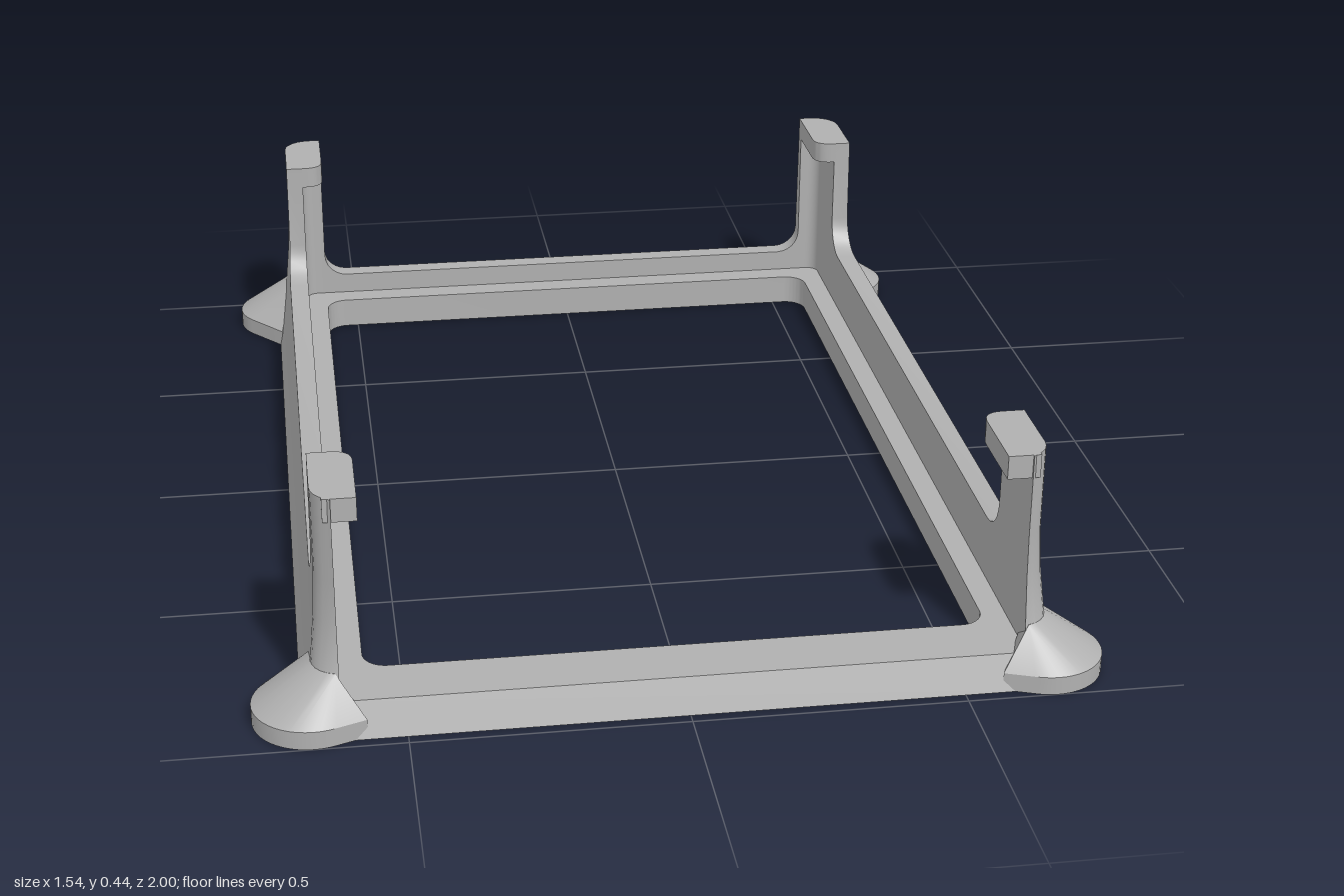
import * as THREE from 'three';
import { toCreasedNormals } from 'three/addons/utils/BufferGeometryUtils.js';
import { ConvexGeometry } from 'three/addons/geometries/ConvexGeometry.js';

const V = (x, y, z) => new THREE.Vector3(x, y, z);
const rad = THREE.MathUtils.degToRad;

// Outer shell: half width and half depth at each height
const LEVELS = [0, 0.11, 0.2, 0.28, 0.44];
const HALF_X = [0.685, 0.663, 0.654, 0.65, 0.65];
const HALF_Z = [0.98, 0.937, 0.925, 0.92, 0.918];
const CORNER = 0.055, INNER_X = 0.615, INNER_Z = 0.895;
const FLOOR = 0.065, TOP = 0.44;

function atHeight(table, y) {
  let i = 0;
  while (i < LEVELS.length - 2 && y > LEVELS[i + 1]) i++;
  return THREE.MathUtils.mapLinear(y, LEVELS[i], LEVELS[i + 1], table[i], table[i + 1]);
}

// One closed cross-section of the wall: up the outside, over the top, down the inside
function section(height, outer, ix, iz) {
  const ring = LEVELS.map((l) => {
    const y = Math.min(l, height);
    const [x, z] = outer(atHeight(HALF_X, y), atHeight(HALF_Z, y));
    return V(x, y, z);
  });
  ring.push(V(ix, height, iz), V(ix, 0, iz));
  return ring;
}

function wallSections() {
  const s = [];
  const corner = (deg, sign) => (X, Z) => [
    X - CORNER + CORNER * Math.cos(rad(deg)),
    sign * (Z - CORNER + CORNER * Math.sin(rad(deg)))];
  const side = (z, h) => s.push(section(h, (X) => [X, z], INNER_X, z));
  const back = (x, h) => s.push(section(h, (X, Z) => [x, -Z], x, -INNER_Z));
  // front corner, cut flat at the inner wall
  s.push(section(TOP, (X, Z) => [INNER_X, Z], INNER_X, 0.86));
  for (const d of [60, 45, 30, 15, 0]) s.push(section(TOP, corner(d, 1), INNER_X, 0.86));
  // side: post, fillet, low rail, fillet, post
  side(0.73, TOP);
  const r = 0.07;
  for (let i = 0; i <= 6; i++) {
    const a = rad(i * 15);
    side(0.73 - r + r * Math.cos(a), 0.185 + r - r * Math.sin(a));
  }
  for (let i = 6; i >= 0; i--) {
    const a = rad(i * 15);
    side(-0.73 + r - r * Math.cos(a), 0.185 + r - r * Math.sin(a));
  }
  side(-0.73, TOP);
  // rounded back corner
  for (let d = 0; d <= 90; d += 15) {
    s.push(section(TOP, corner(d, -1),
      INNER_X - 0.025 + 0.025 * Math.cos(rad(d)), -INNER_Z + 0.025 - 0.025 * Math.sin(rad(d))));
  }
  // back: post return, fillet, low rail
  back(0.57, TOP);
  const q = 0.05;
  for (let i = 0; i <= 6; i++) {
    const a = rad(i * 15);
    back(0.57 - q + q * Math.cos(a), 0.11 + q - q * Math.sin(a));
  }
  // mirror to the other side
  return [...s, ...s.map((ring) => ring.map((p) => V(-p.x, p.y, p.z))).reverse()];
}

// Skin the cross-sections and close both ends
function skin(sections) {
  const pos = [];
  const area = new THREE.Triangle();
  const tri = (a, b, c) => {
    if (area.set(a, b, c).getArea() > 1e-8) for (const p of [a, b, c]) pos.push(p.x, p.y, p.z);
  };
  const n = sections[0].length;
  for (let i = 0; i < sections.length - 1; i++) {
    for (let j = 0; j < n; j++) {
      const k = (j + 1) % n;
      const a = sections[i][j], b = sections[i][k];
      const c = sections[i + 1][k], d = sections[i + 1][j];
      tri(a, d, c);
      tri(a, c, b);
    }
  }
  const first = sections[0], last = sections[sections.length - 1];
  for (let j = 0; j < n - 2; j++) {
    tri(first[n - 1], first[j], first[j + 1]);
    tri(last[n - 1], last[j + 1], last[j]);
  }
  const g = new THREE.BufferGeometry();
  g.setAttribute('position', new THREE.Float32BufferAttribute(pos, 3));
  return toCreasedNormals(g, rad(28));
}

// Flat base ring with a rounded opening and a sloping front edge
function baseGeometry() {
  const shape = new THREE.Shape([
    new THREE.Vector2(-0.63, -0.92), new THREE.Vector2(0.63, -0.92),
    new THREE.Vector2(0.63, 0.92), new THREE.Vector2(-0.63, 0.92)]);
  const x = 0.57, z = 0.843, r = 0.045;
  const hole = new THREE.Path();
  hole.absarc(x - r, z - r, r, 0, Math.PI / 2);
  hole.absarc(-x + r, z - r, r, Math.PI / 2, Math.PI);
  hole.absarc(-x + r, -z + r, r, Math.PI, Math.PI * 1.5);
  hole.absarc(x - r, -z + r, r, Math.PI * 1.5, Math.PI * 2);
  hole.closePath();
  shape.holes.push(hole);
  const g = new THREE.ExtrudeGeometry(shape, { depth: FLOOR, bevelEnabled: false, curveSegments: 8 });
  g.rotateX(-Math.PI / 2);
  const p = g.attributes.position;
  for (let i = 0; i < p.count; i++) {
    if (p.getZ(i) > 0.9) p.setZ(i, atHeight(HALF_Z, p.getY(i)));
  }
  return toCreasedNormals(g, rad(28));
}

// Flared foot: round pad blending up into the corner post
function footGeometry(sx, sz) {
  const pts = [];
  for (const y of [0, 0.035]) {
    for (let d = -45; d <= 120; d += 7.5) {
      pts.push(V(sx * (0.665 + 0.107 * Math.cos(rad(d))), y, sz * (0.893 + 0.107 * Math.sin(rad(d)))));
    }
    pts.push(V(sx * 0.68, y, sz * 0.745), V(sx * 0.57, y, sz * 0.972));
  }
  for (let d = 0; d <= 75; d += 15) {
    pts.push(V(sx * (0.606 + 0.058 * Math.cos(rad(d))), 0.11, sz * (0.88 + 0.058 * Math.sin(rad(d)))));
  }
  pts.push(V(sx * 0.655, 0.105, sz * 0.83));
  return toCreasedNormals(new ConvexGeometry(pts), rad(28));
}

// Retaining lip on top of a post
function lipGeometry(sx, sz) {
  const s = new THREE.Shape();
  const z0 = 0.73, z1 = sz > 0 ? 0.913 : 0.9, r = 0.04;
  const P = (x, z) => [sx * x, -sz * z];
  s.moveTo(...P(0.63, z0));
  s.lineTo(...P(0.57 + r, z0));
  s.quadraticCurveTo(...P(0.57, z0), ...P(0.57, z0 + r));
  s.lineTo(...P(0.57, z1));
  s.lineTo(...P(0.63, z1));
  s.closePath();
  const g = new THREE.ExtrudeGeometry(s, { depth: 0.045, bevelEnabled: false, curveSegments: 8 });
  g.rotateX(-Math.PI / 2).translate(0, TOP - 0.045, 0);
  return toCreasedNormals(g, rad(28));
}

export function createModel() {
  const model = new THREE.Group();
  model.name = 'trayMount';
  const grey = new THREE.MeshStandardMaterial({ color: 0xb0b0b0 });
  grey.name = 'light grey';
  const add = (name, geometry) => {
    const m = new THREE.Mesh(geometry, grey);
    m.name = name;
    model.add(m);
  };
  add('baseFrame', baseGeometry());
  add('wallsAndPosts', skin(wallSections()));
  for (const sx of [1, -1]) {
    for (const sz of [1, -1]) {
      const where = (sz > 0 ? 'front' : 'back') + (sx > 0 ? 'Left' : 'Right');
      add(where + 'Foot', footGeometry(sx, sz));
      add(where + 'Lip', lipGeometry(sx, sz));
    }
  }
  return model;
}
